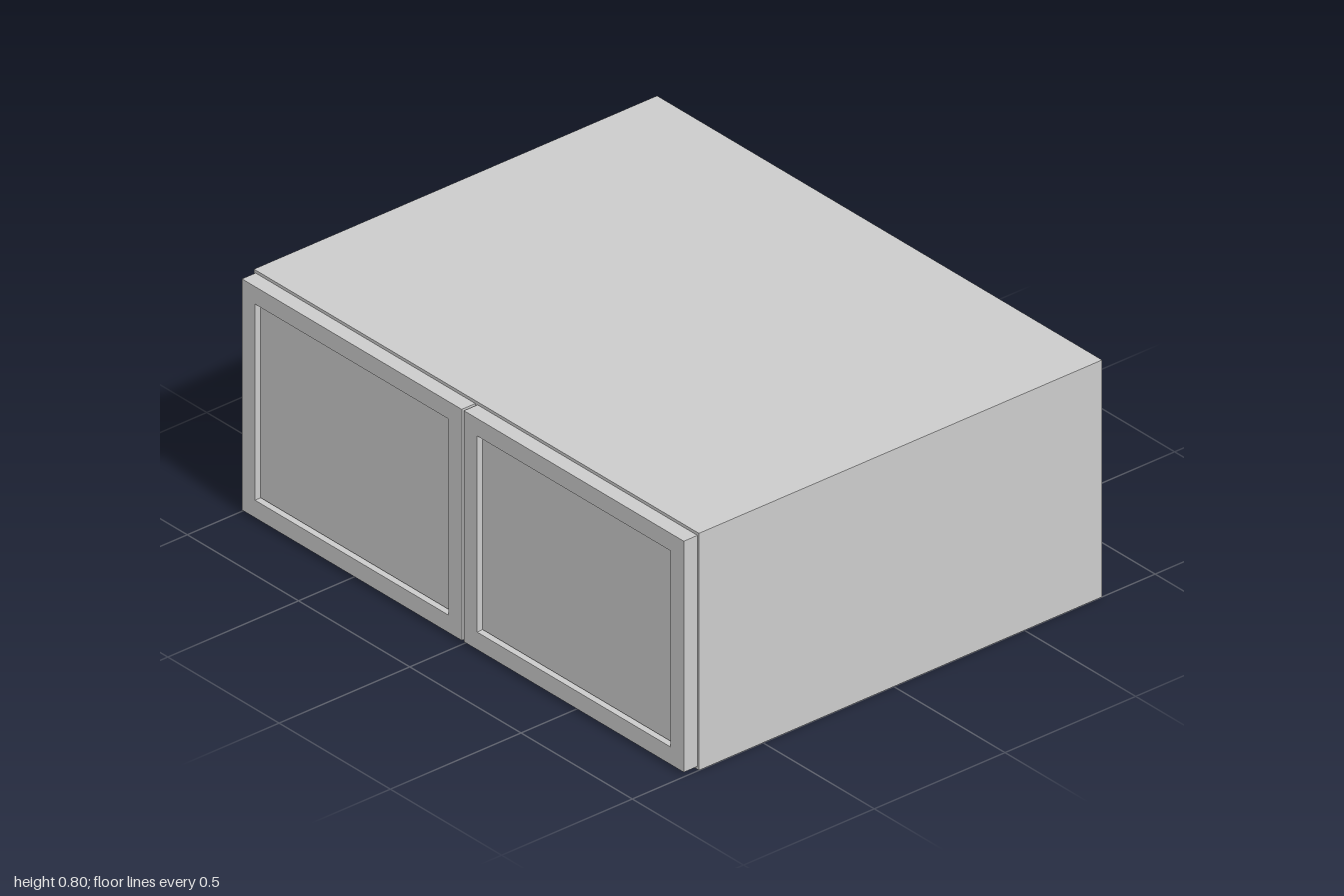
import * as THREE from 'three';

const W = 2, H = 0.8, BACK = -0.797, FRONT = 0.745, T = 0.045;
const DOOR_W = 0.988, DOOR_H = 0.78, DOOR_T = 0.052, RAIL = 0.064;

const material = new THREE.MeshStandardMaterial({ color: 0xcccccc });

function box(name, w, h, d, x, y, z) {
  const mesh = new THREE.Mesh(new THREE.BoxGeometry(w, h, d), material);
  mesh.name = name;
  mesh.position.set(x, y, z);
  return mesh;
}

// Rectangular door frame whose opening flares slightly towards the front
function frameGeometry() {
  const rect = (Type, w, h) => {
    const path = new Type();
    path.moveTo(-w / 2, -h / 2);
    path.lineTo(w / 2, -h / 2);
    path.lineTo(w / 2, h / 2);
    path.lineTo(-w / 2, h / 2);
    path.closePath();
    return path;
  };
  const innerW = DOOR_W - 2 * RAIL, innerH = DOOR_H - 2 * RAIL;
  const shape = rect(THREE.Shape, DOOR_W, DOOR_H);
  shape.holes.push(rect(THREE.Path, innerW, innerH));
  const geometry = new THREE.ExtrudeGeometry(shape, { depth: DOOR_T, bevelEnabled: false });
  const p = geometry.attributes.position;
  for (let i = 0; i < p.count; i++) {
    const x = p.getX(i), y = p.getY(i);
    const onOpening = Math.abs(x) < innerW / 2 + 0.001 && Math.abs(y) < innerH / 2 + 0.001;
    if (onOpening && p.getZ(i) > DOOR_T / 2) {
      p.setXY(i, x + Math.sign(x) * 0.005, y + Math.sign(y) * 0.005);
    }
  }
  geometry.computeVertexNormals();
  return geometry;
}

export function createModel() {
  const group = new THREE.Group();
  group.name = 'wallCabinet';

  // Carcass: two sides, top, bottom and back
  const depth = FRONT - BACK, midZ = (FRONT + BACK) / 2;
  const innerW = W - 2 * T;
  for (const [side, s] of [['left', 1], ['right', -1]]) {
    group.add(box(side + 'SidePanel', T, H, depth, s * (W - T) / 2, H / 2, midZ));
  }
  group.add(box('topPanel', innerW, T, depth, 0, H - T / 2, midZ));
  group.add(box('bottomPanel', innerW, T, depth, 0, T / 2, midZ));
  group.add(box('backPanel', innerW, H - 2 * T, 0.02, 0, H / 2, BACK + 0.01));

  // Pair of doors, each a frame around a recessed panel
  const frame = frameGeometry();
  for (const [side, s] of [['left', 1], ['right', -1]]) {
    const door = new THREE.Group();
    door.name = side + 'Door';
    const rails = new THREE.Mesh(frame, material);
    rails.name = 'doorFrame';
    door.add(rails);
    door.add(box('doorPanel', DOOR_W - 2 * RAIL, DOOR_H - 2 * RAIL, 0.036, 0, 0, 0.018));
    door.position.set(s * (DOOR_W / 2 + 0.005), H / 2, FRONT);
    group.add(door);
  }
  return group;
}
